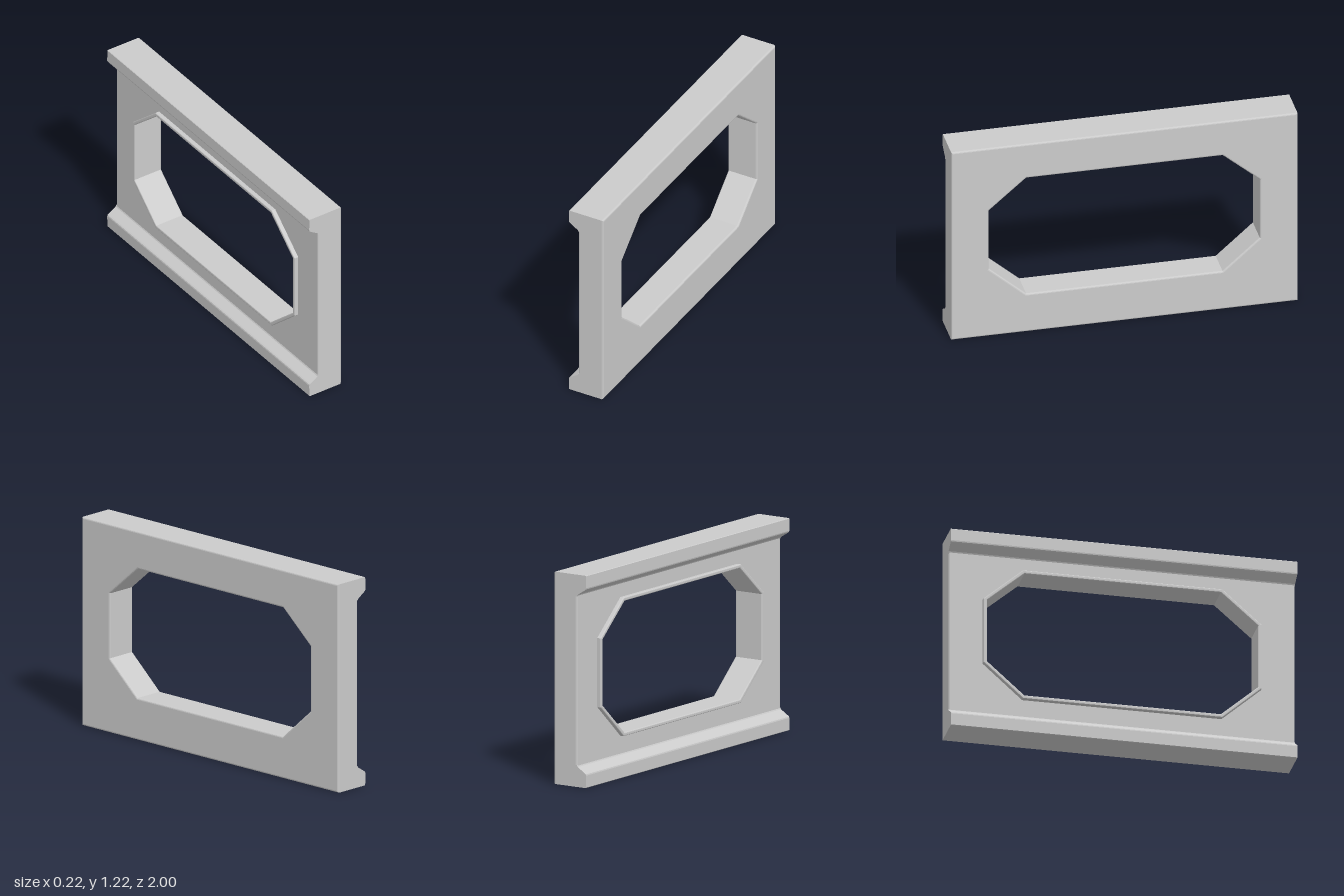
import * as THREE from 'three';

const HEIGHT = 1.22;

function createPart(name, shape, depth, bevel) {
  const geometry = new THREE.ExtrudeGeometry(shape, {
    depth: depth - 2 * bevel,
    bevelEnabled: bevel > 0,
    bevelThickness: bevel,
    bevelSize: bevel,
    bevelOffset: -bevel,
    bevelSegments: 3,
  });
  geometry.translate(0, 0, bevel);
  const mesh = new THREE.Mesh(geometry, new THREE.MeshStandardMaterial({ color: 0xcccccc }));
  mesh.name = name;
  return mesh;
}

// Chamfered window outline, grown outward by "grow"
function windowPoints(grow) {
  const z = 0.782 + grow, y0 = 0.245 - grow, y1 = 1.0 + grow;
  const zc = 0.567 + grow * 0.4, c0 = 0.435 - grow * 0.4, c1 = 0.815 + grow * 0.4;
  return [[-zc, y0], [zc, y0], [z, c0], [z, c1], [zc, y1], [-zc, y1], [-z, c1], [-z, c0]]
    .map(([a, b]) => new THREE.Vector2(a, b));
}

export function createModel() {
  const group = new THREE.Group();
  group.name = 'windowPanel';

  // Main plate with the octagonal opening
  const plateShape = new THREE.Shape([[-1, 0], [1, 0], [1, HEIGHT], [-1, HEIGHT]]
    .map(([a, b]) => new THREE.Vector2(a, b)));
  plateShape.holes.push(new THREE.Path(windowPoints(0).reverse()));
  const plate = createPart('plate', plateShape, 0.16, 0.01);
  plate.rotation.y = Math.PI / 2;
  plate.position.x = -0.05;
  group.add(plate);

  // Thin raised rim around the opening
  const rimShape = new THREE.Shape(windowPoints(0.021));
  rimShape.holes.push(new THREE.Path(windowPoints(0).reverse()));
  const rim = createPart('windowRim', rimShape, 0.06, 0.006);
  rim.rotation.y = Math.PI / 2;
  rim.position.x = -0.075;
  group.add(rim);

  // Top and bottom ledges with a sloped inner side
  const profile = [[-0.11, 0.003], [-0.107, 0], [-0.02, 0], [-0.02, 0.13], [-0.048, 0.125],
    [-0.054, 0.115], [-0.103, 0.084], [-0.109, 0.079], [-0.111, 0.072]];
  for (const top of [false, true]) {
    const points = profile.map(([x, y]) => new THREE.Vector2(x, top ? HEIGHT - y : y));
    const ledge = createPart(top ? 'topLedge' : 'bottomLedge', new THREE.Shape(points), 2, 0);
    ledge.position.z = -1;
    group.add(ledge);
  }

  return group;
}
